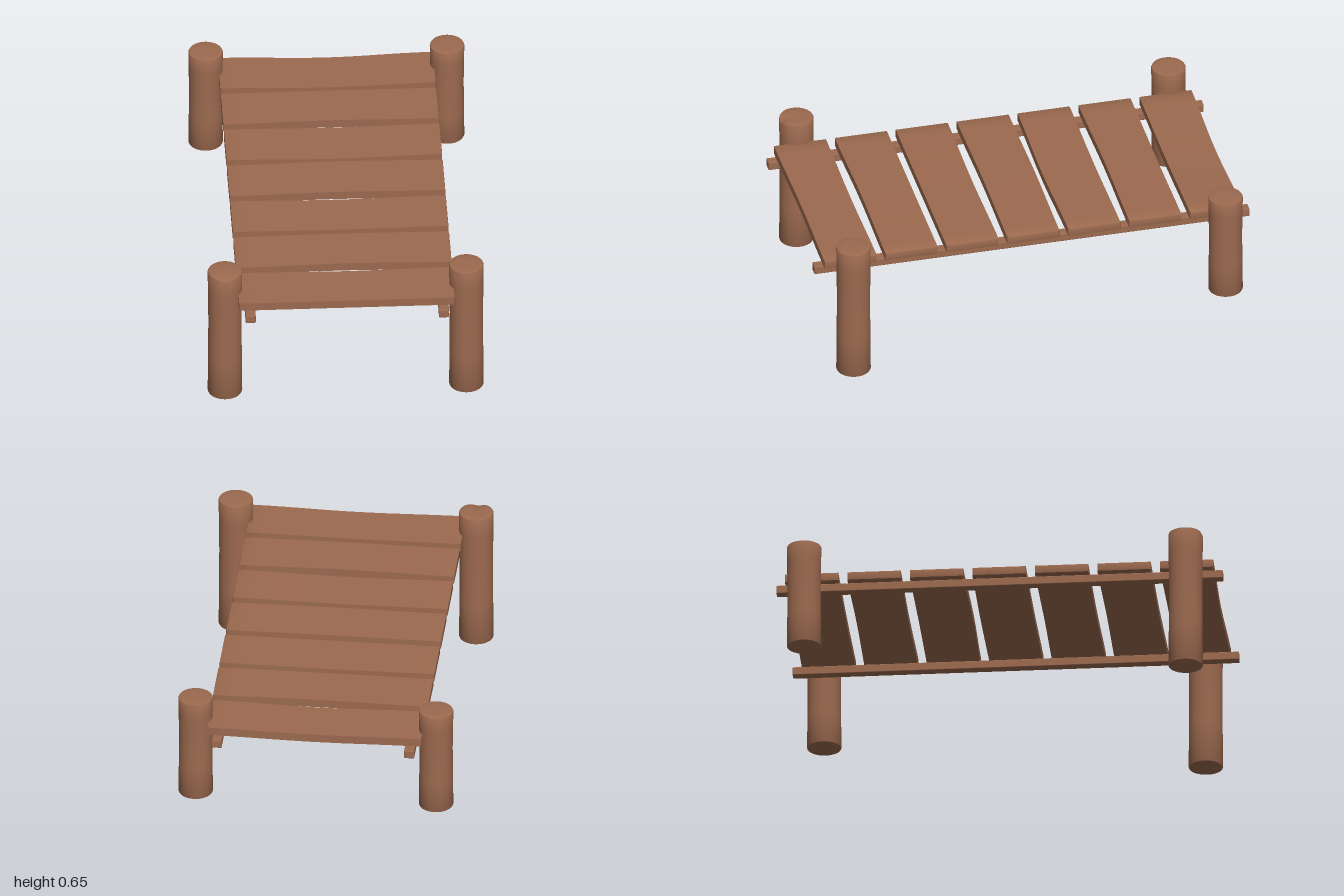
import * as THREE from 'three';
import { toCreasedNormals } from 'three/addons/utils/BufferGeometryUtils.js';
import { RoundedBoxGeometry } from 'three/addons/geometries/RoundedBoxGeometry.js';

const wood = new THREE.MeshStandardMaterial({ color: 0x9c6a4f });
wood.name = 'brownWood';

function addPart(group, name, geometry, x, y, z) {
  const mesh = new THREE.Mesh(geometry, wood);
  mesh.name = name;
  mesh.position.set(x, y, z);
  group.add(mesh);
}

// Apply a rule to every vertex, then rebuild smooth normals with sharp edges
function warp(geometry, rule) {
  const pos = geometry.attributes.position;
  const v = new THREE.Vector3();
  for (let i = 0; i < pos.count; i++) {
    rule(v.fromBufferAttribute(pos, i));
    pos.setXYZ(i, v.x, v.y, v.z);
  }
  return toCreasedNormals(geometry, 0.5);
}

// Round log with softened rims, a slight waist and an optional chip in the top
function postGeometry(height, chip) {
  const r = 0.077, b = 0.007;
  const profile = [
    [0, 0], [r - b, 0], [r - 0.002, 0.002], [r, b],
    [r - 0.002, height * 0.3], [r - 0.003, height * 0.6], [r - 0.001, height * 0.85],
    [r, height - b], [r - 0.002, height - 0.002], [r - b, height], [r * 0.5, height], [0, height],
  ].map(([x, y]) => new THREE.Vector2(x, y));
  return warp(new THREE.LatheGeometry(profile, 40), (v) => {
    if (v.y > height - 0.02) {
      const edge = THREE.MathUtils.smoothstep(v.z, 0.02, 0.07);
      v.y -= chip * edge * Math.exp(-((v.x / 0.03) ** 2));
    }
  });
}

// Board running along x with bevelled edges, bowed in the middle
function plankGeometry(bow, frontWave, backWave) {
  const length = 0.96, depth = 0.238, thick = 0.038, b = 0.004;
  const w = depth / 2 - b, h = thick / 2 - b;
  const section = new THREE.Shape([
    new THREE.Vector2(-w, -h), new THREE.Vector2(w, -h),
    new THREE.Vector2(w, h), new THREE.Vector2(-w, h),
  ]);
  const geometry = new THREE.ExtrudeGeometry(section, {
    depth: length - 2 * b, steps: 14, bevelSize: b, bevelThickness: b, bevelSegments: 2,
  });
  geometry.translate(0, 0, b - length / 2);
  geometry.rotateY(Math.PI / 2);
  return warp(geometry, (v) => {
    const arch = Math.cos((v.x / length) * Math.PI) ** 2;
    v.y += bow * arch;
    v.z += (v.z > 0 ? frontWave : backWave) * arch;
  });
}

export function createModel() {
  const model = new THREE.Group();
  model.name = 'woodenDock';

  // Four posts: the front pair reaches lower than the back pair
  for (const side of [-1, 1]) {
    const name = side < 0 ? 'right' : 'left';
    addPart(model, name + 'FrontPost', postGeometry(0.648, side < 0 ? 0.012 : 0), side * 0.537, 0, 0.837);
    addPart(model, name + 'BackPost', postGeometry(0.49, 0), side * 0.537, 0.16, -0.864);
    // Long square rail beneath the planks
    addPart(model, name + 'Rail', new RoundedBoxGeometry(0.045, 0.038, 1.99, 2, 0.004), side * 0.43, 0.487, 0);
  }

  // Seven planks: bow, front edge wave, back edge wave
  const planks = [
    [-0.01, 0, 0.006], [0.003, -0.004, 0.003], [-0.004, 0.006, 0.002], [0.004, -0.003, -0.003],
    [-0.005, -0.002, 0.003], [0.005, -0.004, 0.002], [-0.004, -0.006, 0.003],
  ];
  planks.forEach(([bow, front, back], i) => {
    addPart(model, 'plank' + (i + 1), plankGeometry(bow, front, back), 0, 0.528, (i - 3) * 0.2785);
  });

  return model;
}
